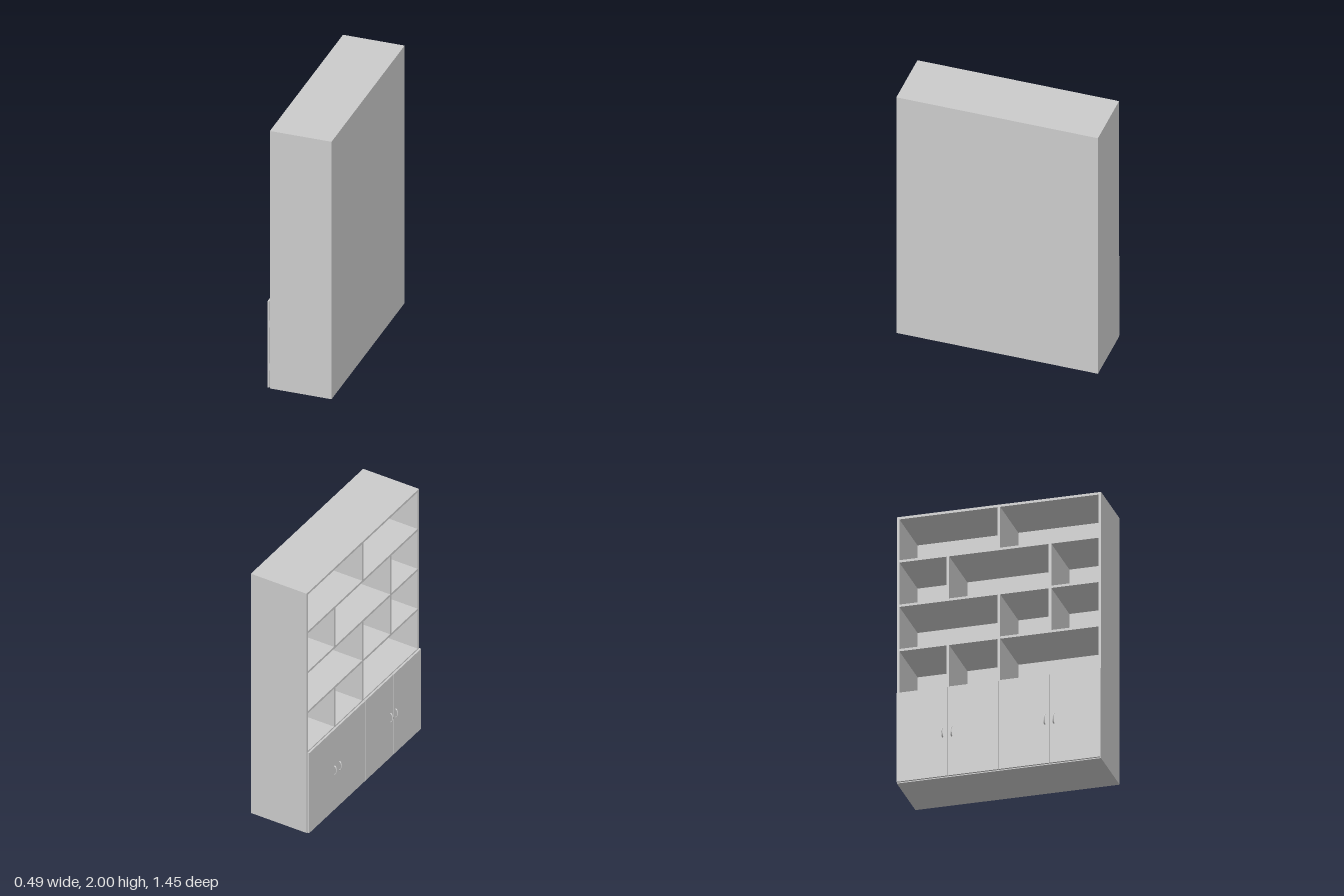
import * as THREE from 'three';

const material = new THREE.MeshStandardMaterial({ color: 0xcccccc });

export function createModel() {
  const model = new THREE.Group();
  model.name = 'bookcase';

  // Box given by its limits on each axis
  const box = (name, [x0, x1], [y0, y1], [z0, z1], parent = model) => {
    const mesh = new THREE.Mesh(new THREE.BoxGeometry(x1 - x0, y1 - y0, z1 - z0), material);
    mesh.position.set((x0 + x1) / 2, (y0 + y1) / 2, (z0 + z1) / 2);
    mesh.name = name;
    parent.add(mesh);
    return mesh;
  };

  const T = 0.018;             // board thickness
  const W = 0.725;             // half width along z
  const H = 2;
  const ROW = H / 6;           // shelf spacing
  const OPEN = -0.207, BACK = 0.24;
  const inner = [OPEN, BACK - 0.01];
  const span = [-W + T, W - T];

  // Carcass, open towards -x
  box('backPanel', [BACK - 0.01, BACK], [0, H], [-W, W]);
  box('sidePanelNear', inner, [0, H], [W - T, W]);
  box('sidePanelFar', inner, [0, H], [-W, -W + T]);
  box('topPanel', inner, [H - T, H], span);
  box('bottomPanel', inner, [0, T], span);

  // Shelves
  for (let i = 1; i <= 5; i++) {
    const y = i * ROW;
    const x0 = i === 1 ? OPEN + 0.02 : OPEN;
    box('shelf', [x0, inner[1]], [y - T / 2, y + T / 2], span);
  }

  // Staggered dividers, as [row from the floor, z positions]
  const Q = W / 2;
  const dividers = [[0, [0]], [1, [0]], [2, [-Q, 0]], [3, [0, Q]], [4, [-Q, Q]], [5, [0]]];
  for (const [row, places] of dividers) {
    const y0 = row === 0 ? T : row * ROW + T / 2;
    const y1 = row === 5 ? H - T : (row + 1) * ROW - T / 2;
    for (const z of places) box('divider', inner, [y0, y1], [z - T / 2, z + T / 2]);
  }

  // Bowed pull handle
  const bow = new THREE.CatmullRomCurve3([
    [-0.225, 0.297], [-0.234, 0.303], [-0.24, 0.318], [-0.241, 0.333],
    [-0.24, 0.348], [-0.234, 0.363], [-0.225, 0.369],
  ].map(([x, y]) => new THREE.Vector3(x, y, 0)));
  const handleGeometry = new THREE.TubeGeometry(bow, 24, 0.004, 8);

  // Four doors in two pairs, with hinges and handles
  const DOOR_OUT = -0.226, DOOR_IN = -0.212;
  for (let i = 0; i < 4; i++) {
    const door = new THREE.Group();
    door.name = 'door' + (i + 1);
    const z0 = -W + i * Q, z1 = z0 + Q;
    box('doorPanel', [DOOR_OUT, DOOR_IN], [0.004, 0.672], [z0 + 0.002, z1 - 0.002], door);

    const hingeLow = i % 2 === 0;          // hinged on the -z edge
    const inward = hingeLow ? 1 : -1;
    const hingeZ = (hingeLow ? z0 : z1) + inward * 0.02;
    for (const y of [0.16, 0.495])
      box('hinge', [DOOR_IN, OPEN], [y - 0.026, y + 0.026], [hingeZ - 0.011, hingeZ + 0.011], door);

    const handle = new THREE.Mesh(handleGeometry, material);
    handle.name = 'handle';
    handle.scale.z = 1.3;
    handle.position.z = (hingeLow ? z1 : z0) - inward * 0.032;
    door.add(handle);
    model.add(door);
  }

  return model;
}
